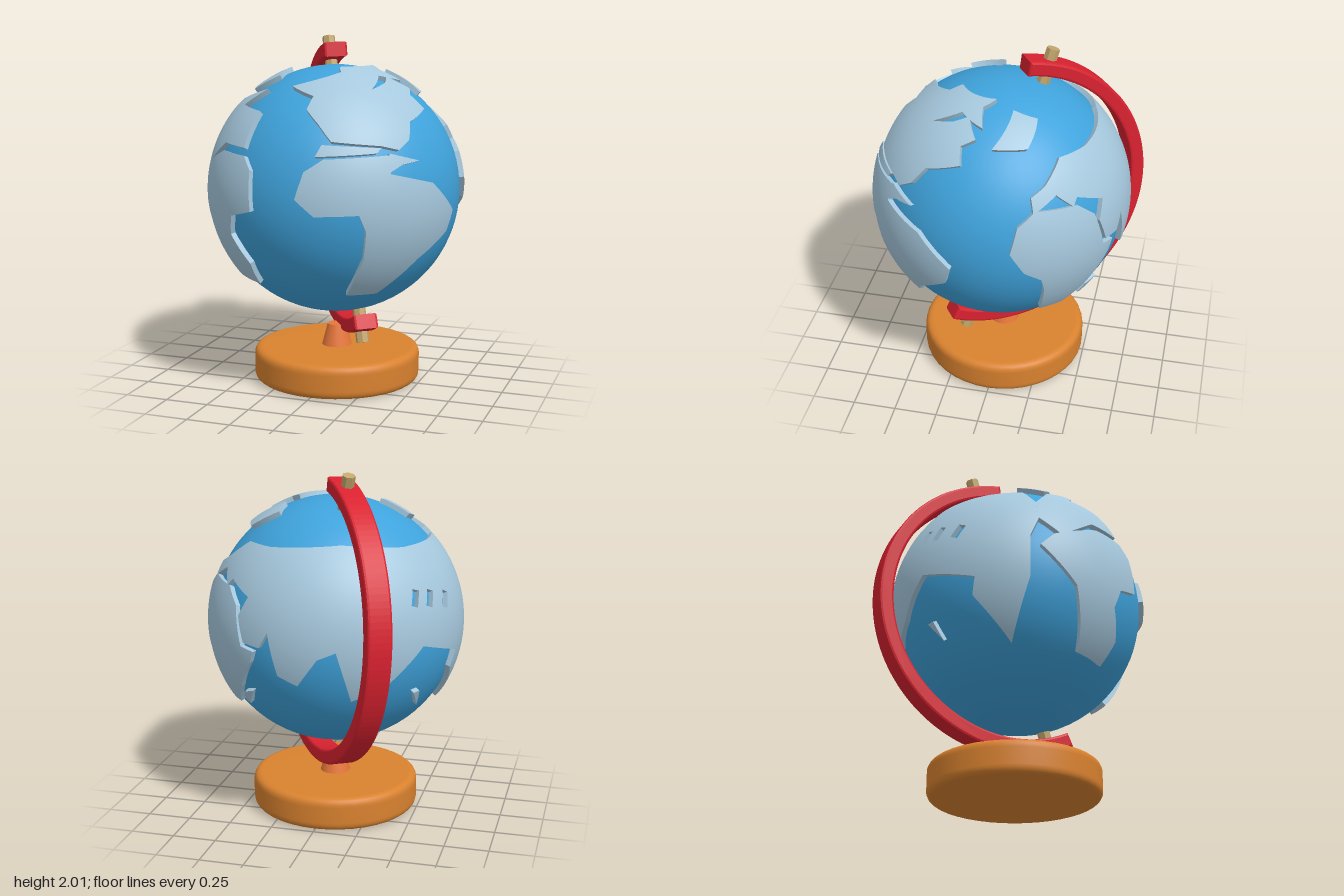
import * as THREE from 'three';

const OCEAN_R = 0.714, LAND_R = 0.743, RAD = Math.PI / 180;

const mat = (name, color) => {
  const m = new THREE.MeshStandardMaterial({ color });
  m.name = name;
  return m;
};

// A stencil plane facing the globe: turns flat outline points (hundredths) into (azimuth, elevation).
const stencil = (azDeg, elDeg) => (...uv) => {
  const a = azDeg * RAD, e = elDeg * RAD;
  const right = new THREE.Vector3(Math.cos(a), 0, -Math.sin(a));
  const up = new THREE.Vector3(-Math.sin(a) * Math.sin(e), Math.cos(e), -Math.cos(a) * Math.sin(e));
  const out = new THREE.Vector3().crossVectors(right, up);
  const pts = [];
  for (let i = 0; i < uv.length; i += 2) {
    const u = uv[i] / 100, v = uv[i + 1] / 100;
    const w = Math.sqrt(Math.max(0, 0.74 * 0.74 - u * u - v * v));
    const p = new THREE.Vector3().addScaledVector(right, u).addScaledVector(up, v).addScaledVector(out, w).normalize();
    pts.push(new THREE.Vector2(Math.atan2(p.x, p.z), Math.asin(p.y)));
  }
  return pts;
};
const F = stencil(0, 0), R = stencil(90, 0), T = stencil(0, 90);
const A = stencil(35, 24), B = stencil(215, 24), C = stencil(145, -28);

// Keep azimuths continuous around an outline.
const unwrap = (pts, start) => {
  let prev = start;
  for (const p of pts) {
    p.x -= Math.round((p.x - prev) / (2 * Math.PI)) * 2 * Math.PI;
    prev = p.x;
  }
};

const onGlobe = (p, r) => [
  r * Math.sin(p.x) * Math.cos(p.y), r * Math.sin(p.y), r * Math.cos(p.x) * Math.cos(p.y)];

// Raised plate wrapped on the globe, with walls around its outline and holes.
function landGeometry(outline, holes) {
  for (const loop of [outline, ...holes]) {
    unwrap(loop, outline[0].x);
    if (THREE.ShapeUtils.isClockWise(loop) === (loop === outline)) loop.reverse();
  }
  const pos = [], nor = [], all = [...outline, ...holes.flat()];
  const add = (p, r, n) => { pos.push(...onGlobe(p, r)); nor.push(...n); };
  const split = (a, b, c, level) => {
    if (level === 0) {
      for (const p of [a, b, c]) add(p, LAND_R, onGlobe(p, 1));
      return;
    }
    const ab = a.clone().lerp(b, 0.5), bc = b.clone().lerp(c, 0.5), ca = c.clone().lerp(a, 0.5);
    split(a, ab, ca, level - 1);
    split(ab, b, bc, level - 1);
    split(ca, bc, c, level - 1);
    split(ab, bc, ca, level - 1);
  };
  for (const [a, b, c] of THREE.ShapeUtils.triangulateShape(outline, holes)) split(all[a], all[b], all[c], 4);
  for (const loop of [outline, ...holes]) {
    loop.forEach((p, i) => {
      const q = loop[(i + 1) % loop.length];
      for (let k = 0; k < 16; k++) {
        const s = p.clone().lerp(q, k / 16), t = p.clone().lerp(q, (k + 1) / 16);
        const vs = new THREE.Vector3(...onGlobe(s, 1)), vt = new THREE.Vector3(...onGlobe(t, 1));
        const n = vt.sub(vs).cross(vs).normalize().toArray();
        for (const [v, r] of [[s, 0.7], [t, 0.7], [t, LAND_R], [s, 0.7], [t, LAND_R], [s, LAND_R]]) add(v, r, n);
      }
    });
  }
  const g = new THREE.BufferGeometry();
  g.setAttribute('position', new THREE.Float32BufferAttribute(pos, 3));
  g.setAttribute('normal', new THREE.Float32BufferAttribute(nor, 3));
  return g;
}

export function createModel() {
  const model = new THREE.Group();
  model.name = 'deskGlobe';
  const ocean = mat('ocean blue', 0x3fa3dc);
  const land = mat('land pale blue', 0xa6c8dd);
  const red = mat('arm red', 0xd8212f);
  const orange = mat('base orange', 0xd9822f);
  const coral = mat('neck orange', 0xe8773a);
  const brass = mat('pin brass', 0xc2a66c);
  const mesh = (parent, name, geo, material) => {
    const m = new THREE.Mesh(geo, material);
    m.name = name;
    parent.add(m);
    return m;
  };

  // Ball
  const globe = new THREE.Group();
  globe.name = 'globe';
  globe.position.set(0, 1.135, 0.015);
  model.add(globe);
  mesh(globe, 'oceanBall', new THREE.SphereGeometry(OCEAN_R, 64, 40), ocean);

  // Raised continents and islands
  const addLand = (name, outline, holes = []) => mesh(globe, name, landGeometry(outline, holes), land);
  addLand('northContinent', A(-32, 45, -5, 51, -4, 56, 17, 55, 13, 43, 8, 37, 18, 43, 21, 49, 34, 42, 32, 36,
    39, 28, 26, 17, 23, 6, 16, 0, 6, 2, -20, 6, -25, 17, -29, 27, -24, 35));
  addLand('isthmus', A(-29, -1, -25, 5, 6, 1, 3, -2));
  addLand('seaIsland', A(10, -2, 28, -5, 17, -8, 10, -12));
  addLand('southContinent', A(-40, -21, -35, -8, -25, -3, 10, -3, 10, -13, 36, -16, 52, -27, 48, -38, 29, -53,
    8, -68, -9, -68, -4, -54, -4, -41, -8, -33, -31, -31));
  addLand('hornContinent', C(-47, 33, -42, 46, -32, 54, -9, 56, 1, 50, 7, 32, 16, 30, 13, 24, 0, 7, -11, -8,
    -24, -10, -29, 12, -32, 20, -41, 24));
  addLand('hornIsland', C(-2, -3, 1, 4, 9, 6, 1, -5));
  const eastCoast = B(64, 24, 68, 1, 68, -22, 51, -53, 49, -40, 52, -31, 24, -30);
  const southCoast = B(3, -48, -16, -54, -26, -29, -35, -31, -43, -42, -52, -35);
  const gulfCoast = C(25, 39, 20, 32, 9, 34, 4, 46);
  const westCoast = R(62, 24, 50, 31, 49, 27, 40, 35, 30, 28, 28, 36, 34, 40, 39, 50);
  const northCoast = T(23, 50, -16, 50, -45, 32, -53, 14, -53, -11);
  const lakes = [20, 30, 42].map(u => B(u - 3, -9, u + 1, -10, u + 3, -1, u - 1, 0));
  addLand('greatContinent', [...eastCoast, ...southCoast, ...gulfCoast, ...westCoast, ...northCoast], lakes);
  addLand('easternIsles', F(-64, 15, -66, 26, -60, 39, -47, 52, -27, 59, -41, 50, -26, 48, -31, 29, -47, 30));
  addLand('easternContinent', F(-70, 7, -66, 15, -47, 26, -30, 25, -25, 18, -24, -4, -38, -8, -40, -19,
    -29, -35, -27, -48, -43, -46, -60, -14));
  addLand('polarIsleEast', T(-41, -6, -25, -5, -25, -23, -41, -22));
  addLand('polarIsleSouth', T(9, -19, 21, 2, 27, -4, 39, -2, 17, -21));
  addLand('polarIsleWest', T(26, 25, 43, 23, 48, 5, 26, 12));
  addLand('smallIsle', B(21, -53, 25, -52, 26, -59));

  // Curved arm, leaning slightly, with a pin near each end
  const arm = new THREE.Group();
  arm.name = 'armAssembly';
  arm.position.set(0.042, 1.135, -0.028);
  arm.rotation.set(-0.035, 124 * RAD, 0, 'YXZ');
  model.add(arm);
  const bevel = 0.014, depth = 0.14 - 2 * bevel, top = 81 * RAD, bottom = -116 * RAD;
  const arc = new THREE.Shape();
  arc.absarc(0, 0, 0.845 - bevel, top, bottom, true);
  arc.absarc(0, 0, 0.76 + bevel, bottom, top, false);
  arc.closePath();
  const armGeo = new THREE.ExtrudeGeometry(arc, {
    depth, curveSegments: 40, bevelThickness: bevel, bevelSize: bevel, bevelSegments: 2 });
  armGeo.translate(0, 0, -depth / 2);
  mesh(arm, 'arm', armGeo, red);
  for (const [name, side] of [['topPin', 1], ['bottomPin', -1]]) {
    const pin = mesh(arm, name, new THREE.CylinderGeometry(0.038, 0.038, 0.21, 7).toNonIndexed(), brass);
    pin.geometry.computeVertexNormals();
    pin.rotation.z = -18 * RAD;
    pin.position.set(Math.sin(18 * RAD), Math.cos(18 * RAD), 0).multiplyScalar(0.802 * side);
  }

  // Round base with softened rims, and the neck that holds the arm
  const rim = new THREE.Path();
  rim.moveTo(0, 0).lineTo(0.44, 0);
  rim.quadraticCurveTo(0.488, 0, 0.488, 0.05).lineTo(0.488, 0.144);
  rim.quadraticCurveTo(0.488, 0.194, 0.44, 0.194).lineTo(0, 0.194);
  mesh(model, 'base', new THREE.LatheGeometry(rim.getPoints(6), 40), orange);
  const neck = mesh(model, 'neck', new THREE.CylinderGeometry(0.055, 0.092, 0.14, 16), coral);
  neck.position.y = 0.25;
  return model;
}
